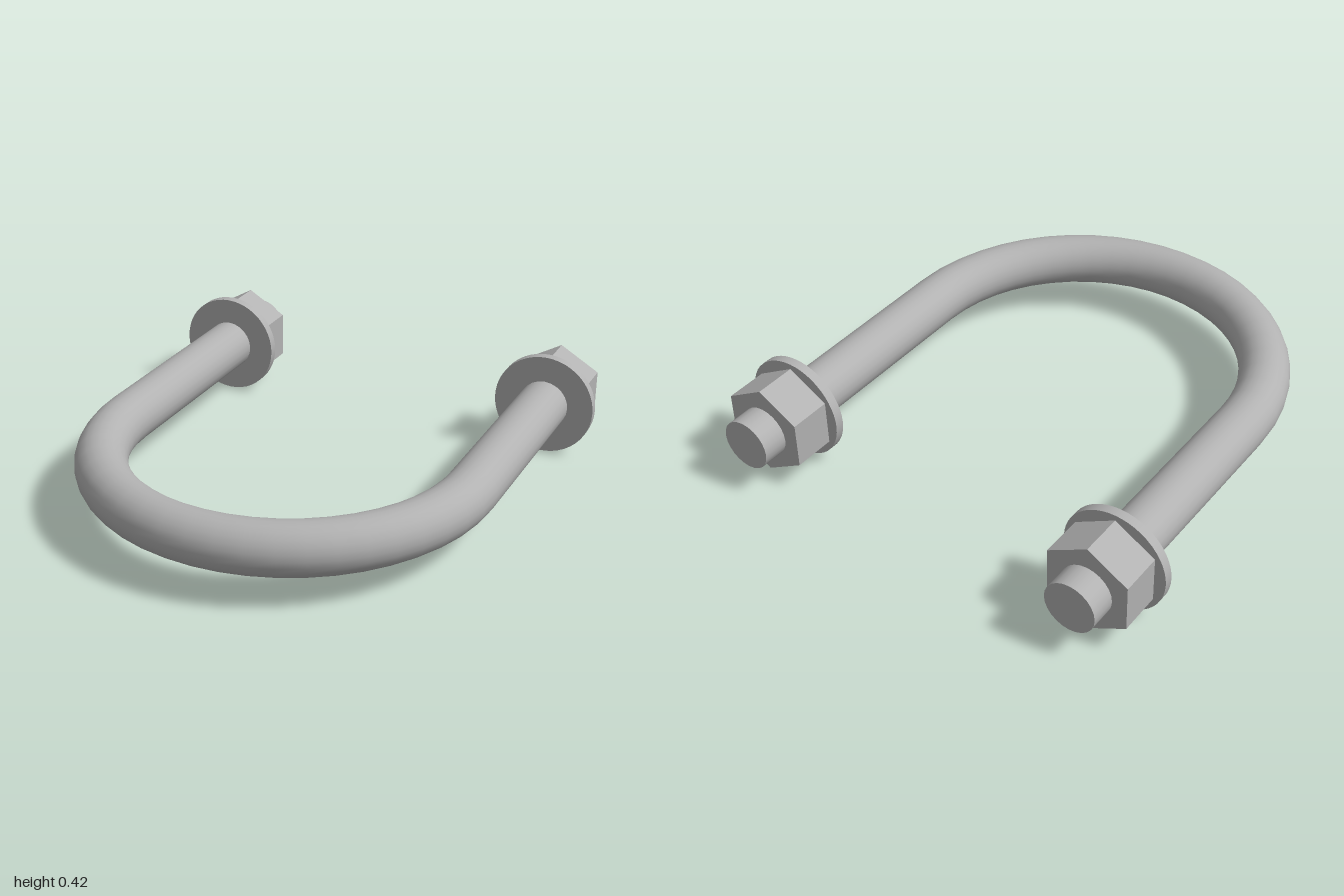
import * as THREE from 'three';

const AXIS_Y = 0.21;     // height of the rod axis
const LEG_X = 0.737;     // distance of each leg from the middle
const ROD_R = 0.103;
const BEND_Z = 0.16;     // where the legs meet the bend

// Cylinder lying along z between two z positions
function cylinderZ(radius, z0, z1, sides) {
  return new THREE.CylinderGeometry(radius, radius, z1 - z0, sides)
    .rotateX(Math.PI / 2)
    .translate(0, 0, (z0 + z1) / 2);
}

export function createModel() {
  const steel = new THREE.MeshStandardMaterial({ color: 0xb2b2b2 });
  steel.name = 'steel';
  const nutSteel = new THREE.MeshStandardMaterial({ color: 0xb2b2b2, flatShading: true });
  nutSteel.name = 'nutSteel';

  const model = new THREE.Group();
  model.name = 'uBolt';

  const add = (parent, name, geometry, material) => {
    const mesh = new THREE.Mesh(geometry, material);
    mesh.name = name;
    parent.add(mesh);
  };

  // Half-circle bend at the front
  const bend = new THREE.TorusGeometry(LEG_X, ROD_R, 24, 24, Math.PI)
    .rotateX(Math.PI / 2)
    .translate(0, AXIS_Y, BEND_Z);
  add(model, 'bend', bend, steel);

  // Straight leg, washer and hexagonal nut on each side
  for (const [side, sign] of [['left', 1], ['right', -1]]) {
    const leg = new THREE.Group();
    leg.name = side + 'Leg';
    leg.position.set(sign * LEG_X, AXIS_Y, 0);
    add(leg, side + 'Rod', cylinderZ(ROD_R, -1, BEND_Z, 24), steel);
    add(leg, side + 'Washer', cylinderZ(0.21, -0.725, -0.688, 48), steel);
    add(leg, side + 'Nut', cylinderZ(0.188, -0.895, -0.725, 6), nutSteel);
    model.add(leg);
  }

  return model;
}
